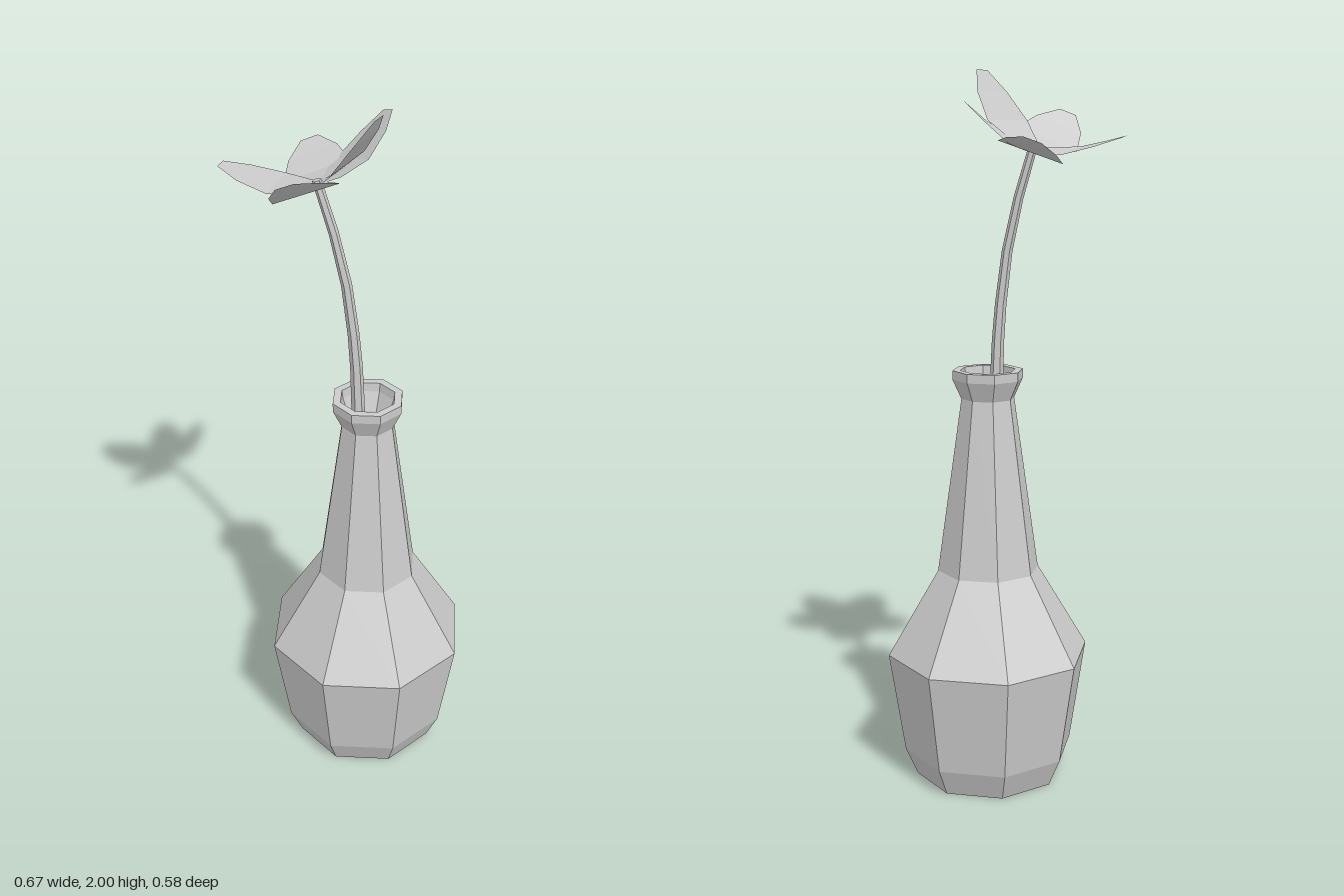
import * as THREE from 'three';

const V = (x, y, z) => new THREE.Vector3(x, y, z);

function add(parent, name, geometry, side = THREE.FrontSide) {
  const material = new THREE.MeshStandardMaterial({ color: 0xcccccc, flatShading: true, side });
  const mesh = new THREE.Mesh(geometry, material);
  mesh.name = name;
  parent.add(mesh);
  return mesh;
}

// Thin petal: cross rows from the flower heart to the tip, sagging like a shallow spoon
function petalGeometry(heart, tip, axis) {
  const rows = [[0, 0.02, 0], [0.16, 0.058, 0.014], [0.45, 0.09, 0.023], [0.77, 0.067, 0.012], [1, 0.024, 0]];
  const across = tip.clone().sub(heart).cross(axis).normalize();
  const positions = [], index = [];
  rows.forEach(([t, halfWidth, sag], i) => {
    const centre = heart.clone().lerp(tip, t).addScaledVector(axis, -sag);
    for (const s of [-1, 1]) positions.push(...centre.clone().addScaledVector(across, s * halfWidth).toArray());
    if (i > 0) {
      const a = 2 * i - 2;
      index.push(a, a + 1, a + 3, a, a + 3, a + 2);
    }
  });
  const g = new THREE.BufferGeometry();
  g.setAttribute('position', new THREE.Float32BufferAttribute(positions, 3));
  g.setIndex(index);
  g.computeVertexNormals();
  return g;
}

// Tapered stalk: a cylinder whose rings follow a curve
function stemGeometry(curve, bottomRadius, topRadius) {
  const g = new THREE.CylinderGeometry(topRadius, bottomRadius, 1, 6, 8);
  const p = g.attributes.position;
  for (let i = 0; i < p.count; i++) {
    const t = p.getY(i) + 0.5;
    const c = curve.getPoint(t);
    const turn = new THREE.Quaternion().setFromUnitVectors(V(0, 1, 0), curve.getTangent(t));
    const v = V(p.getX(i), 0, p.getZ(i)).applyQuaternion(turn).add(c);
    p.setXYZ(i, v.x, v.y, v.z);
  }
  g.computeVertexNormals();
  return g;
}

export function createModel() {
  const model = new THREE.Group();
  model.name = 'flowerInVase';

  // Eight-sided vase: outside up to the lip, then down the inside
  const profile = [
    [0, 0], [0.21, 0], [0.245, 0.08], [0.29, 0.37], [0.145, 0.615], [0.075, 1.11], [0.1, 1.165], [0.1, 1.19],
    [0.078, 1.19], [0.075, 1.165], [0.055, 1.11], [0.12, 0.61], [0.26, 0.37], [0.22, 0.09], [0, 0.04],
  ].map(([r, y]) => new THREE.Vector2(r, y));
  const vase = add(model, 'vase', new THREE.LatheGeometry(profile, 8));
  vase.position.x = 0.045;

  // Bent stem, with its tip showing in the heart of the flower
  const stemCurve = new THREE.CatmullRomCurve3([
    V(0.03, 0.6, -0.01), V(0.02, 0.9, -0.005), V(0.014, 1.2, 0), V(0.006, 1.35, 0.002),
    V(-0.025, 1.58, 0.01), V(-0.088, 1.807, 0.025),
  ]);
  add(model, 'stem', stemGeometry(stemCurve, 0.022, 0.012));

  // Five petals around a tilted axis, given by their tips
  const flower = new THREE.Group();
  flower.name = 'flower';
  model.add(flower);
  const heart = V(-0.088, 1.797, 0.025);
  const axis = V(-0.42, 1, -0.02).normalize();
  const tips = [
    V(0.084, 2.0, 0.032), V(-0.052, 1.89, 0.257), V(-0.332, 1.825, 0.078),
    V(-0.215, 1.818, -0.181), V(0.006, 1.93, -0.19),
  ];
  tips.forEach((tip, i) => add(flower, `petal${i + 1}`, petalGeometry(heart, tip, axis), THREE.DoubleSide));

  return model;
}
